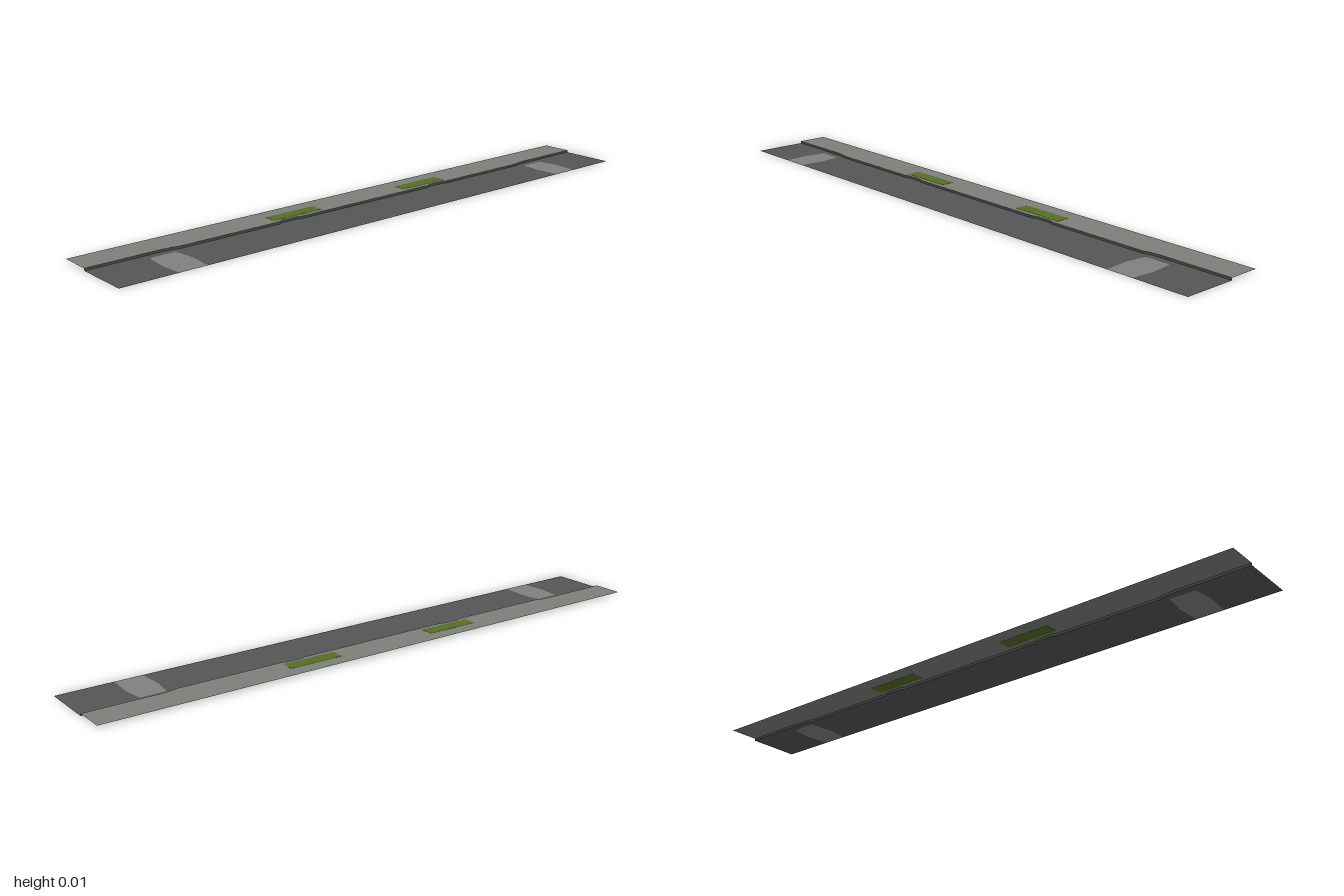
import * as THREE from 'three';

const material = (name, color) => {
  const m = new THREE.MeshStandardMaterial({ color, side: THREE.DoubleSide });
  m.name = name;
  return m;
};

export function createModel() {
  const group = new THREE.Group();
  const asphalt = material('asphalt', 0x555555);
  const paving = material('paving', 0x7e7e7b);
  const worn = material('worn crossing', 0x808080);
  const grass = material('grass', 0x566d20);
  const curbStone = material('curb stone', 0x484848);

  const HALF_DEPTH = 0.142;
  const CURB_HEIGHT = 0.0075;

  const add = (name, geometry, mat) => {
    const mesh = new THREE.Mesh(geometry, mat);
    mesh.name = name;
    group.add(mesh);
    return mesh;
  };
  // Points are [x, z]; the shape plane is laid flat facing up
  const toShape = (pts) => new THREE.Shape(pts.map(([x, z]) => new THREE.Vector2(x, -z)));
  const flat = (shape, y) => new THREE.ShapeGeometry(shape).rotateX(-Math.PI / 2).translate(0, y, 0);

  // Curb line, set back at both ends and notched at the two drains
  const half = [[0.27, -0.03], [0.28, -0.036], [0.34, -0.036], [0.35, -0.03],
    [0.705, -0.03], [0.725, -0.036], [0.76, -0.039], [1, -0.039]];
  const curbLine = [...half.map(([x, z]) => [-x, z]).reverse(), ...half];

  const road = toShape([...curbLine, [1, HALF_DEPTH], [-1, HALF_DEPTH]]);
  const sidewalk = toShape([[-1, -HALF_DEPTH], [1, -HALF_DEPTH], ...[...curbLine].reverse()]);

  // Worn crossings with uneven edges, and grass beds let into the sidewalk
  const edge = [[0.041, -0.014], [0.044, 0], [0.047, 0.025], [0.051, 0.05],
    [0.05, 0.08], [0.047, 0.11], [0.046, HALF_DEPTH - 0.0005]];
  for (const side of [-1, 1]) {
    const label = side > 0 ? 'left' : 'right';
    const cx = side * 0.771;
    const outline = [...edge.map(([x, z]) => [cx + x, z]),
      ...edge.map(([x, z]) => [cx - x, z]).reverse()];
    add(label + 'Crossing', flat(toShape(outline), 0), worn);
    road.holes.push(toShape(outline));

    const bedX = side * 0.267, bedZ = -0.07, w = 0.182, d = 0.045;
    const bed = add(label + 'GrassBed', new THREE.BoxGeometry(w, 0.001, d), grass);
    bed.position.set(bedX, CURB_HEIGHT, bedZ);
    sidewalk.holes.push(toShape([[-1, -1], [1, -1], [1, 1], [-1, 1]]
      .map(([i, j]) => [bedX + i * w / 2, bedZ + j * d / 2])));
  }
  add('road', flat(road, 0), asphalt);
  add('sidewalk', flat(sidewalk, CURB_HEIGHT), paving);

  // Upright curb face joining road and sidewalk
  const positions = [];
  for (let i = 0; i < curbLine.length - 1; i++) {
    const [x0, z0] = curbLine[i], [x1, z1] = curbLine[i + 1];
    positions.push(x0, 0, z0, x1, 0, z1, x1, CURB_HEIGHT, z1);
    positions.push(x0, 0, z0, x1, CURB_HEIGHT, z1, x0, CURB_HEIGHT, z0);
  }
  const curb = new THREE.BufferGeometry();
  curb.setAttribute('position', new THREE.Float32BufferAttribute(positions, 3));
  curb.computeVertexNormals();
  add('curb', curb, curbStone);

  return group;
}
